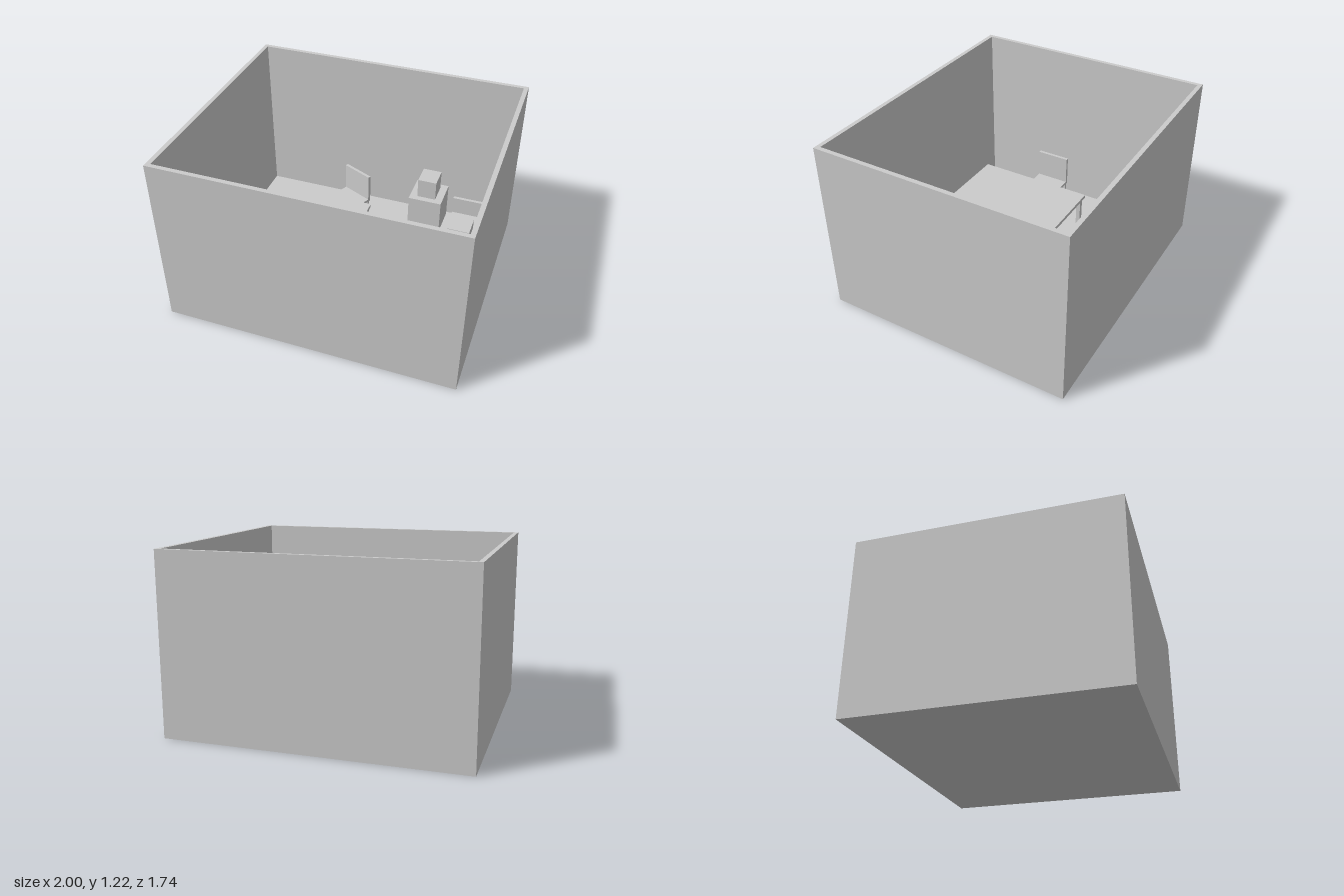
import * as THREE from 'three';

const material = new THREE.MeshStandardMaterial({ color: 0xcccccc, flatShading: true });

// Box given by its size, its centre in plan and the height of its underside
function box(parent, name, [w, h, d], [x, bottom, z]) {
  const mesh = new THREE.Mesh(new THREE.BoxGeometry(w, h, d), material);
  mesh.name = name;
  mesh.position.set(x, bottom + h / 2, z);
  parent.add(mesh);
  return mesh;
}

function part(parent, name, x, y, z, turn = 0) {
  const group = new THREE.Group();
  group.name = name;
  group.position.set(x, y, z);
  group.rotation.y = turn;
  parent.add(group);
  return group;
}

function legs(parent, w, d, height, thick, inset) {
  for (const sx of [-1, 1]) for (const sz of [-1, 1]) {
    box(parent, 'leg', [thick, height, thick],
      [sx * (w / 2 - inset - thick / 2), 0, sz * (d / 2 - inset - thick / 2)]);
  }
}

function chair(parent, x, z, floor, turn) {
  const g = part(parent, 'chair', x, floor, z, turn);
  const w = 0.24, d = 0.205, seat = 0.225;
  box(g, 'seat', [w, 0.02, d], [0, seat - 0.02, 0]);
  box(g, 'backrest', [w, 0.43 - seat, 0.022], [0, seat, -d / 2 + 0.011]);
  legs(g, w, d, seat - 0.02, 0.02, 0.005);
}

export function createModel() {
  const room = new THREE.Group();
  room.name = 'furnishedRoom';
  const W = 2, D = 1.735, H = 1.217, wall = 0.03, floor = 0.015;

  // Closed ring of walls, open at the top
  const rect = (w, d, Type) => new Type([[-1, -1], [1, -1], [1, 1], [-1, 1]]
    .map(([x, y]) => new THREE.Vector2(x * w / 2, y * d / 2)));
  const plan = rect(W, D, THREE.Shape);
  plan.holes.push(rect(W - 2 * wall, D - 2 * wall, THREE.Path));
  const walls = new THREE.Mesh(
    new THREE.ExtrudeGeometry(plan, { depth: H, bevelEnabled: false }).rotateX(-Math.PI / 2), material);
  walls.name = 'walls';
  room.add(walls);
  box(room, 'floor', [W - 2 * wall, floor, D - 2 * wall], [0, 0, 0]);

  // Table with two chairs
  const table = part(room, 'table', -0.208, floor, 0.162);
  box(table, 'tableTop', [0.535, 0.025, 0.847], [0, 0.35, 0]);
  legs(table, 0.535, 0.847, 0.35, 0.03, 0.015);
  chair(room, -0.682, 0.163, floor, Math.PI / 2);
  chair(room, -0.18, -0.475, floor, -0.435);

  // Bookshelf: two side panels, three boards and a box on top
  const shelf = part(room, 'bookshelf', 0.833, 0, 0.398);
  for (const s of [-1, 1]) {
    box(shelf, 'sidePanel', [0.215, 0.87 - floor, 0.02], [0, floor, s * 0.309]);
  }
  for (const top of [0.12, 0.44, 0.76]) {
    box(shelf, 'shelfBoard', [0.215, 0.02, 0.598], [0, top - 0.02, 0]);
  }
  box(shelf, 'storageBox', [0.135, 0.147, 0.13], [0.004, 0.76, -0.008]);

  // Low cabinet against the side wall
  box(room, 'cabinet', [0.205, 0.4, 0.29], [0.853, floor, -0.23]);

  // Small stand carrying a box
  const stand = part(room, 'stand', 0.39, floor, -0.69);
  box(stand, 'standBody', [0.25, 0.27, 0.25], [0, 0, 0]);
  box(stand, 'standBox', [0.14, 0.15, 0.16], [0, 0.27, 0]);

  return room;
}
